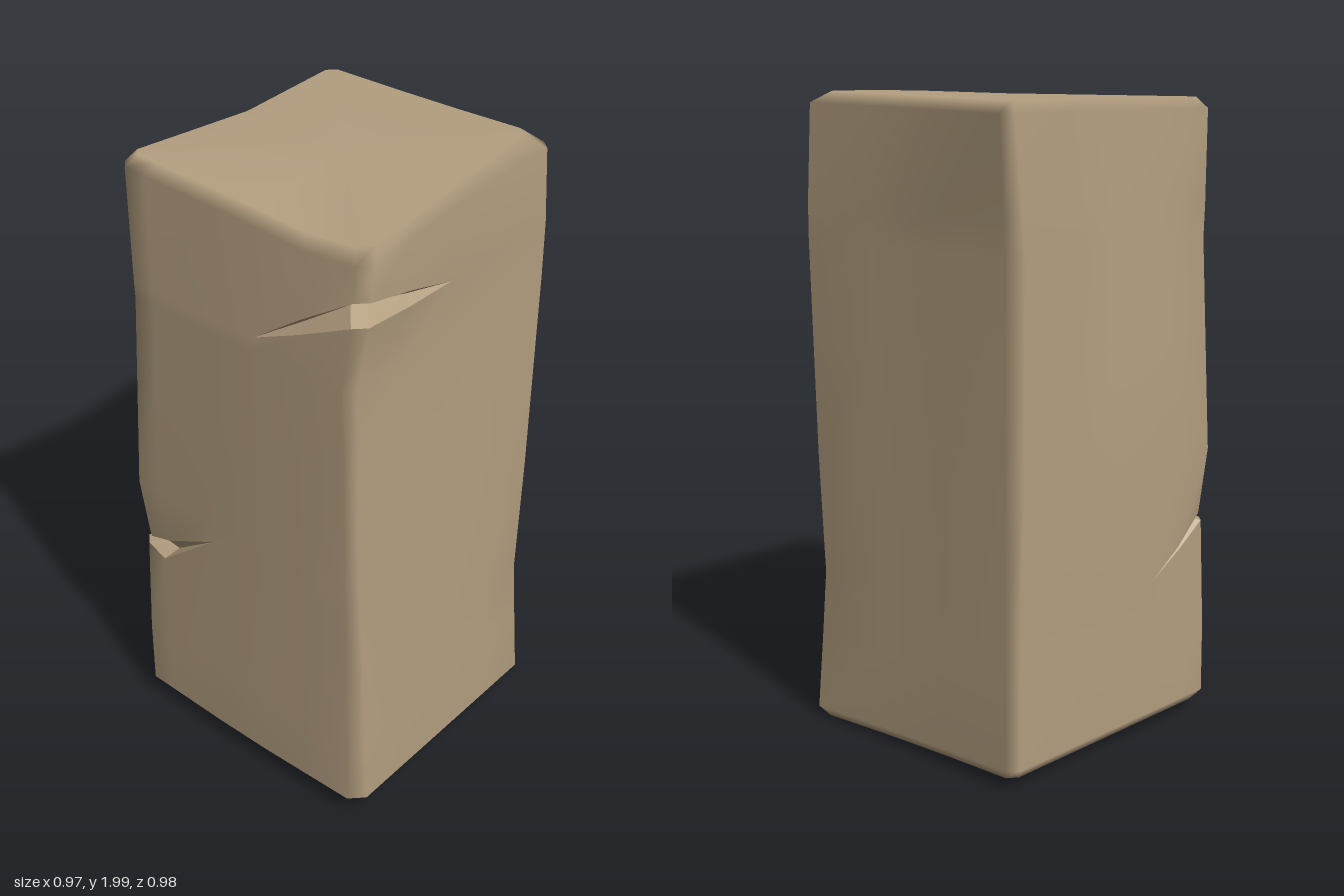
import * as THREE from 'three';
import { mergeVertices } from 'three/addons/utils/BufferGeometryUtils.js';

// Height, then x, z and chamfer of each corner: front -x, front +x, back +x, back -x
const PROFILE = [
  [0.0, -0.463, 0.478, 0.035, 0.488, 0.48, 0.045, 0.432, -0.46, 0.04, -0.483, -0.465, 0.03],
  [0.5, -0.457, 0.478, 0.03, 0.475, 0.481, 0.04, 0.428, -0.46, 0.085, -0.482, -0.462, 0.03],
  [0.62, -0.454, 0.476, 0.03, 0.471, 0.481, 0.035, 0.427, -0.46, 0.075, -0.483, -0.46, 0.03],
  [0.68, -0.44, 0.458, 0.03, 0.47, 0.481, 0.035, 0.427, -0.46, 0.07, -0.483, -0.46, 0.03],
  [0.88, -0.464, 0.478, 0.03, 0.465, 0.482, 0.03, 0.427, -0.46, 0.06, -0.486, -0.46, 0.04],
  [1.55, -0.452, 0.478, 0.065, 0.45, 0.482, 0.03, 0.424, -0.462, 0.035, -0.49, -0.463, 0.04],
  [1.75, -0.456, 0.468, 0.05, 0.483, 0.475, 0.035, 0.423, -0.458, 0.03, -0.488, -0.475, 0.035],
  [2.0, -0.456, 0.448, 0.03, 0.488, 0.456, 0.04, 0.42, -0.443, 0.035, -0.48, -0.492, 0.03],
];

// Points along the front, right-hand, back and left-hand sides
const SIDES = [
  [0, 0.1, 0.37, 0.6, 0.8, 1],
  [0, 0.22, 0.44, 0.75, 1],
  [0, 0.33, 0.67, 1],
  [0, 0.3, 0.5, 0.7, 0.85, 1],
];
const STATIONS = SIDES.flatMap((fs, side) => fs.map((f) => ({ side, f })));

const clamp = (v) => THREE.MathUtils.clamp(v, 0, 1);
const lerp = THREE.MathUtils.lerp;

// Point on the block's side wall at a given station and height
function wall({ side, f }, y) {
  let k = 0;
  while (k < PROFILE.length - 2 && y > PROFILE[k + 1][0]) k++;
  const a = PROFILE[k], b = PROFILE[k + 1];
  const row = a.map((v, i) => lerp(v, b[i], clamp((y - a[0]) / (b[0] - a[0]))));
  const corner = (n) => new THREE.Vector3(row[1 + n * 3], y, row[2 + n * 3]);
  const n = (side + 1) % 4;
  const p = corner(side), q = corner(n), dir = q.clone().sub(p).normalize();
  p.addScaledVector(dir, row[3 + side * 3]);
  q.addScaledVector(dir, -row[3 + n * 3]);
  p.lerp(q, f);
  // Slight front belly, hollow back, and a dent in the upper left-hand side
  const bow = 1 - Math.abs(2 * f - 1);
  if (side === 0) p.z += 0.01 * bow;
  if (side === 2) p.z += 0.01 * bow;
  if (side === 3) p.x += 0.05 * bow * clamp((y - 0.9) / 1.1);
  return p;
}

// Each crack wraps one corner: weight w is 1 at the corner, 0 at both tips
function upperCrack({ side, f }) {
  let w = 0, tip = 1.66;
  if (side === 0) { w = clamp((f - 0.6) / 0.4); tip = 1.6; }
  if (side === 1) { w = clamp((0.44 - f) / 0.44); tip = 1.73; }
  return { w, y: lerp(tip, 1.785, w), gap: 0.036 * Math.pow(w, 0.6) };
}
function lowerCrack({ side, f }) {
  if (side === 0) {
    const w = clamp((0.37 - f) / 0.37), wide = clamp(w / 0.73);
    const gap = 0.034 * wide - 0.022 * clamp((w - 0.73) / 0.27);
    return { w, y: lerp(0.8, 0.655, wide), gap };
  }
  const w = side === 3 ? clamp((f - 0.7) / 0.3) : 0;
  return { w, y: lerp(0.5, 0.655, w), gap: 0.012 * w };
}

// Lower lip, deep line and upper lip of a crack
function crackRings(crack, depth) {
  return [-1, 0, 1].map((lip) => STATIONS.map((s) => {
    const { w, y, gap } = crack(s);
    const p = wall(s, y + lip * gap);
    if (lip === 0) { p.x *= 1 - depth * w; p.z *= 1 - depth * w; }
    return p;
  }));
}

// Uneven end faces, from the heights of their four corners
function blend(x, z, fl, fr, br, bl) {
  const u = clamp(x / 0.9 + 0.5), v = clamp(z / 0.9 + 0.5);
  return lerp(lerp(bl, br, u), lerp(fl, fr, u), v);
}
const bottomY = (x, z) => blend(x, z, 0.04, 0.034, 0, 0.028);
function topY(x, z) {
  const u = clamp(x / 0.9 + 0.5), v = clamp(z / 0.9 + 0.5);
  const ridge = 0.02 * u * (1 - Math.abs(2 * v - 1));
  const dip = 0.018 * clamp(1 - Math.abs(x - 0.24) / 0.2) * clamp(2 * v - 1);
  return blend(x, z, 1.98, 1.958, 1.999, 1.978) + ridge - dip;
}

// Ring next to an end face: offset along y, pulled in for the bevel,
// with the back right corner pulled in further by nick
function endRing(base, height, offset, inset, nick = 0) {
  return STATIONS.map((s) => {
    const p = wall(s, base);
    p.x *= 1 - inset;
    p.z *= 1 - inset;
    p.x -= nick * clamp(p.x / 0.4) * clamp(-p.z / 0.4);
    p.y = height(p.x, p.z) + offset;
    return p;
  });
}

const level = (y) => STATIONS.map((s) => wall(s, y));

// Triangles as a geometry, skipping those pinched to nothing
function geometryFrom(triangles) {
  const pos = triangles
    .filter(([a, b, c]) => new THREE.Triangle(a, b, c).getArea() > 1e-7)
    .flatMap((t) => t.flatMap((p) => p.toArray()));
  const geo = new THREE.BufferGeometry();
  geo.setAttribute('position', new THREE.Float32BufferAttribute(pos, 3));
  return geo;
}

// Smooth normals that favour large faces, so only the bevels look rounded
function weightedNormals(geo) {
  const { position } = geo.attributes, index = geo.index.array;
  const sums = Array.from({ length: position.count }, () => new THREE.Vector3());
  for (let i = 0; i < index.length; i += 3) {
    const ids = index.slice(i, i + 3);
    const [a, b, c] = Array.from(ids, (id) => new THREE.Vector3().fromBufferAttribute(position, id));
    const face = b.sub(a).cross(c.sub(a));
    face.multiplyScalar(face.length());
    ids.forEach((id) => sums[id].add(face));
  }
  const normals = sums.flatMap((n) => n.normalize().toArray());
  geo.setAttribute('normal', new THREE.Float32BufferAttribute(normals, 3));
  return geo;
}

function flatNormals(geo) {
  geo.computeVertexNormals();
  return geo;
}

// Bands of triangles joining successive rings
function bands(rings) {
  const out = [];
  for (let j = 0; j < rings.length - 1; j++) {
    const lo = rings[j], hi = rings[j + 1];
    lo.forEach((p, i) => {
      const n = (i + 1) % lo.length;
      out.push([p, lo[n], hi[n]], [p, hi[n], hi[i]]);
    });
  }
  return out;
}

// Fan closing one end
function cap(ring, height, up) {
  const centre = new THREE.Vector3(0, height(0, 0), 0);
  return ring.map((p, i) => {
    const q = ring[(i + 1) % ring.length];
    return up ? [centre, p, q] : [centre, q, p];
  });
}

export function createModel() {
  const sandstone = new THREE.MeshStandardMaterial({ color: 0xb49f80 });
  sandstone.name = 'sandstone';
  const group = new THREE.Group();
  group.name = 'stonePillar';
  const add = (name, geo) => {
    const mesh = new THREE.Mesh(geo, sandstone);
    mesh.name = name;
    group.add(mesh);
  };

  const low = crackRings(lowerCrack, 0.09);
  const high = crackRings(upperCrack, 0.12);
  const bottom = endRing(0, bottomY, 0, 0.06);
  const top = endRing(2, topY, 0, 0.06, 0.045);

  // Outer skin with softly shaded bevels
  add('stoneBlock', weightedNormals(mergeVertices(geometryFrom([
    ...cap(bottom, bottomY, false),
    ...bands([bottom, endRing(0, bottomY, 0.035, 0), level(0.3), low[0]]),
    ...bands([low[2], level(0.88), level(1.25), level(1.55), high[0]]),
    ...bands([high[2], endRing(1.95, topY, -0.035, 0), top]),
    ...cap(top, topY, true),
  ]))));

  // Sharp-edged insides of the cracks
  add('lowerCrack', flatNormals(geometryFrom(bands(low))));
  add('upperCrack', flatNormals(geometryFrom(bands(high))));
  return group;
}
